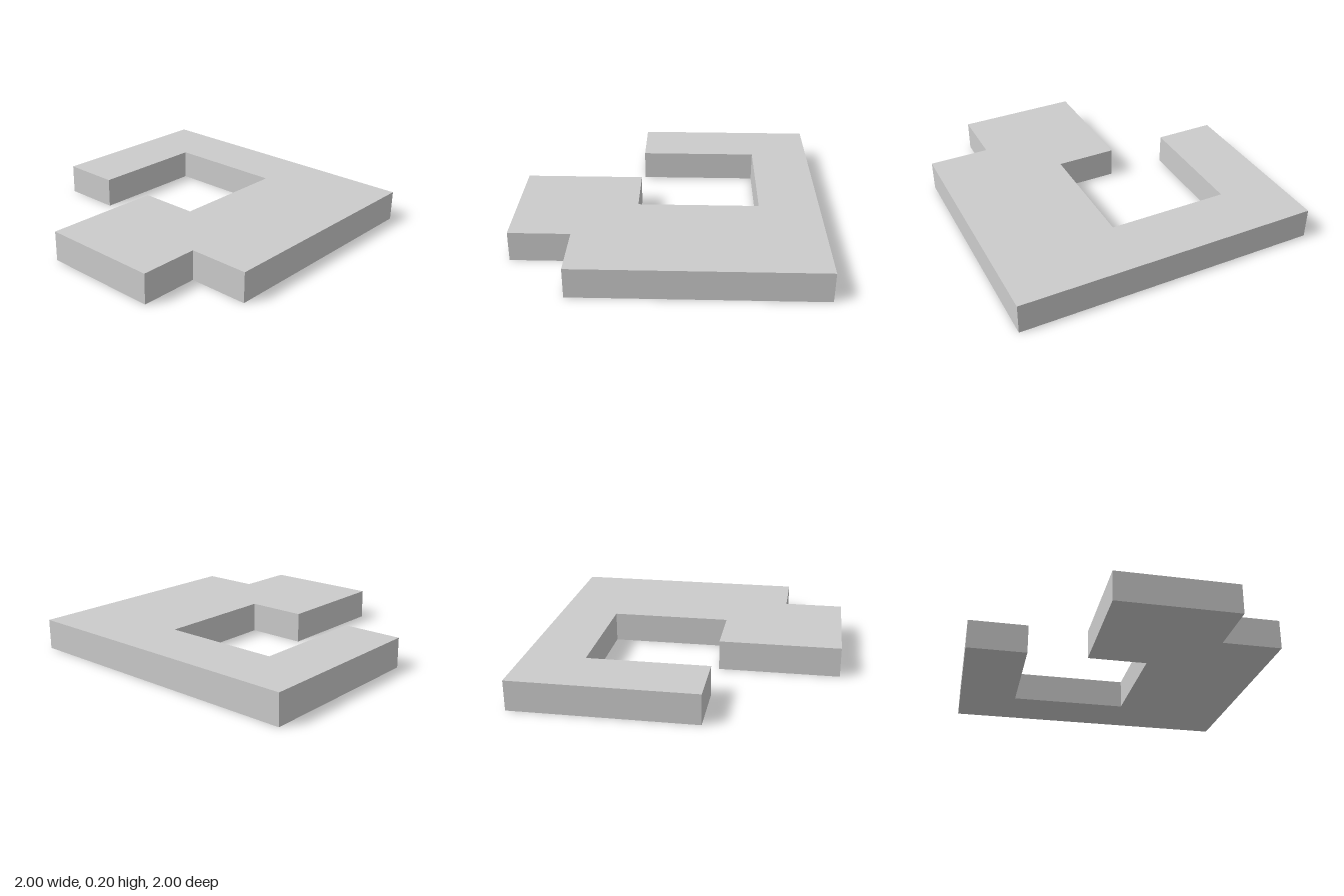
import * as THREE from 'three';

const THICKNESS = 0.2;

// Plan outline as [x, z] corners
const OUTLINE = [
  [-0.2, -1], [1, -1], [1, 1], [-0.6, 1],          // back arm, left side, front edge
  [-0.6, 0.6], [-1, 0.6], [-1, -0.2], [-0.2, -0.2], // front corner notch, right block
  [-0.2, 0.2], [0.6, 0.2], [0.6, -0.6], [-0.2, -0.6], // inner opening
];

export function createModel() {
  const group = new THREE.Group();
  group.name = 'hookPlate';

  // Flat plate: the outline is drawn with y = -z, then laid down on the ground
  const shape = new THREE.Shape(OUTLINE.map(([x, z]) => new THREE.Vector2(x, -z)));
  const geometry = new THREE.ExtrudeGeometry(shape, { depth: THICKNESS, bevelEnabled: false });
  geometry.rotateX(-Math.PI / 2);

  const plate = new THREE.Mesh(
    geometry,
    new THREE.MeshStandardMaterial({ color: 0xcccccc, flatShading: true }),
  );
  plate.name = 'plate';
  group.add(plate);
  return group;
}
